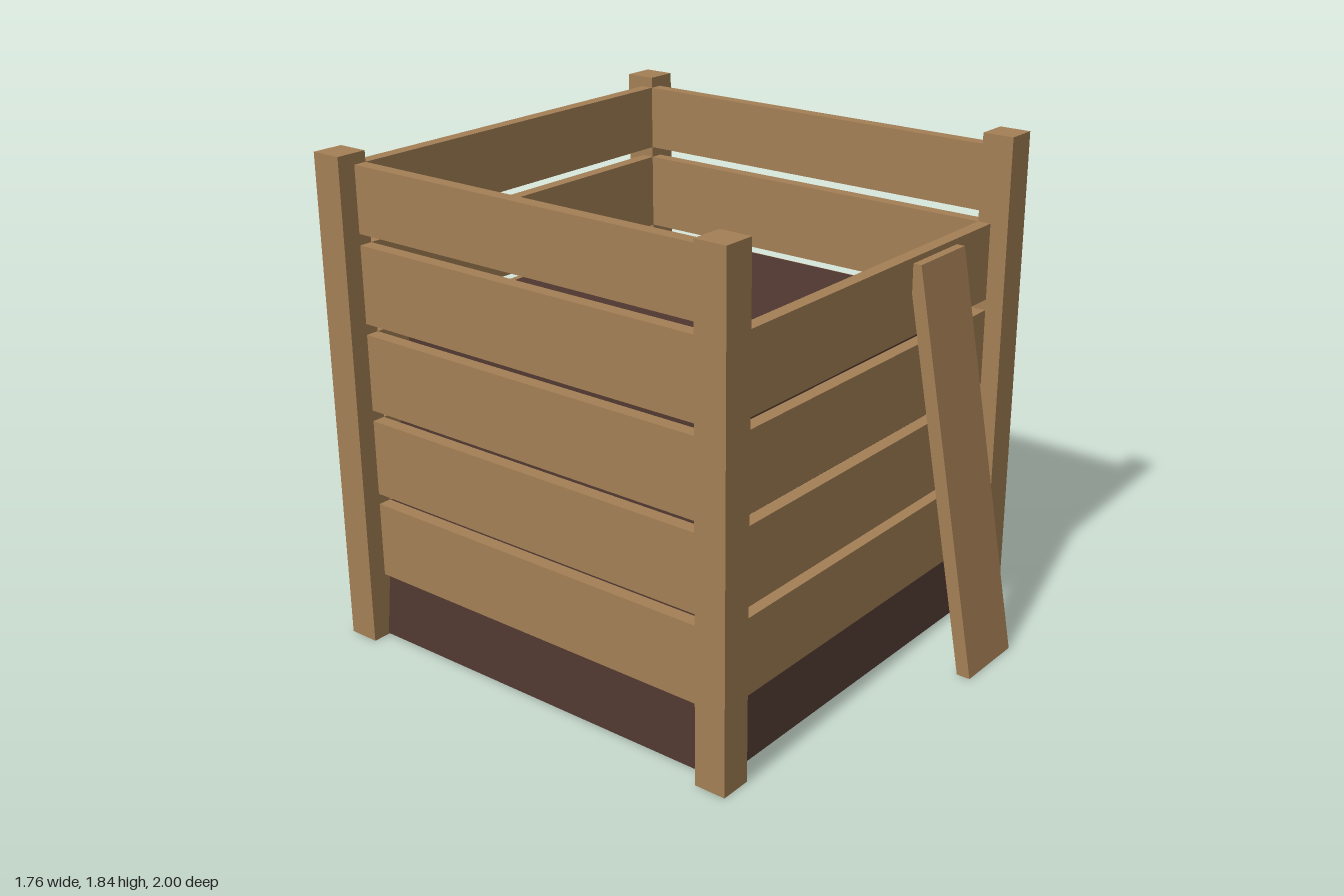
import * as THREE from 'three';

const wood = new THREE.MeshStandardMaterial({ name: 'wood', color: 0xa47f55 });
const soil = new THREE.MeshStandardMaterial({ name: 'darkSoil', color: 0x4e372f });

const INNER = 0.76; // half width between the posts
const POST = 0.12;
const SLAT = 0.05;

function addBox(parent, name, size, position) {
  const mesh = new THREE.Mesh(new THREE.BoxGeometry(...size), wood);
  mesh.name = name;
  mesh.position.set(...position);
  parent.add(mesh);
  return mesh;
}

// One wall of horizontal slats, facing +z before it is turned
function makeWall(name, count, turn) {
  const wall = new THREE.Group();
  wall.name = name;
  for (let i = 0; i < count; i++) {
    const bottom = 0.25 + i * 0.3267;
    const top = Math.min(bottom + 0.286, 1.8);
    addBox(wall, 'slat', [INNER * 2, top - bottom, SLAT],
      [0, (bottom + top) / 2, INNER + SLAT / 2]);
  }
  wall.rotation.y = turn;
  return wall;
}

// Heap of soil, narrower towards the top
function makeSoil() {
  const bottom = 0.004, top = 1.24;
  const geometry = new THREE.BoxGeometry(2, top - bottom, 2);
  geometry.translate(0, (top + bottom) / 2, 0);
  const p = geometry.attributes.position;
  for (let i = 0; i < p.count; i++) {
    const half = p.getY(i) > 0.6 ? 0.675 : 0.812;
    p.setX(i, p.getX(i) * half);
    p.setZ(i, p.getZ(i) * half);
  }
  geometry.computeVertexNormals();
  const mesh = new THREE.Mesh(geometry, soil);
  mesh.name = 'soilHeap';
  return mesh;
}

// Plank leaning on the front wall, with ends cut level
function makePlank() {
  const height = 1.495;
  const geometry = new THREE.BoxGeometry(0.284, height, 0.052);
  geometry.translate(0.387, height / 2, 0.974);
  const p = geometry.attributes.position;
  for (let i = 0; i < p.count; i++) p.setZ(i, p.getZ(i) - p.getY(i) * 0.186);
  geometry.computeVertexNormals();
  const mesh = new THREE.Mesh(geometry, wood);
  mesh.name = 'leaningPlank';
  return mesh;
}

export function createModel() {
  const model = new THREE.Group();
  model.name = 'compostBin';

  const bin = new THREE.Group();
  bin.name = 'bin';
  bin.position.z = -0.12;

  // Corner posts
  for (const x of [-1, 1]) for (const z of [-1, 1]) {
    addBox(bin, 'cornerPost', [POST, 1.84, POST],
      [x * (INNER + POST / 2), 0.92, z * (INNER + POST / 2)]);
  }

  // The front wall is one slat lower than the others
  bin.add(
    makeWall('frontWall', 4, 0),
    makeWall('leftWall', 5, Math.PI / 2),
    makeWall('backWall', 5, Math.PI),
    makeWall('rightWall', 5, -Math.PI / 2),
    makeSoil()
  );

  model.add(bin, makePlank());
  return model;
}
